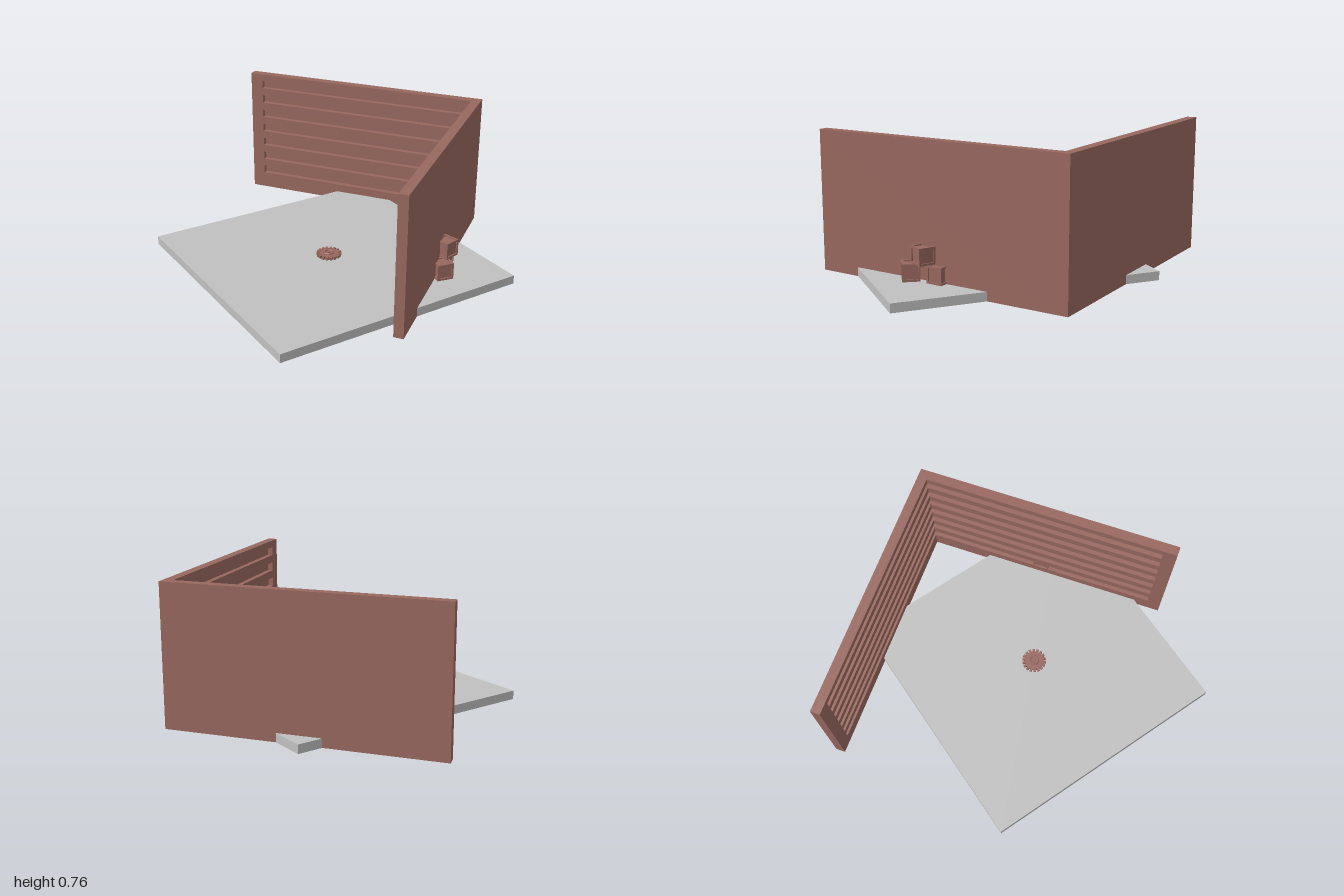
import * as THREE from 'three';

export function createModel() {
  const model = new THREE.Group();
  const clay = new THREE.MeshStandardMaterial({ name: 'clay brown', color: 0x98685f });
  const stone = new THREE.MeshStandardMaterial({ name: 'light grey', color: 0xc0c0c0 });

  function add(parent, name, geometry, material, x = 0, y = 0, z = 0) {
    const mesh = new THREE.Mesh(geometry, material);
    mesh.name = name;
    mesh.position.set(x, y, z);
    parent.add(mesh);
    return mesh;
  }

  // Floor slab, turned 18 degrees
  const floor = add(model, 'floorSlab', new THREE.BoxGeometry(1.43, 0.048, 1.43), stone, 0.1, 0.024, 0.06);
  floor.rotation.y = -0.314;

  // Corner wall: plan points are measured along the two wall directions from the outer corner
  const L = 1.468, T = 0.053, BACK = 0.023, POST = 0.075, H = 0.76;
  const plan = (a, b) => new THREE.Vector2(
    0.401 - 0.954 * a + 0.324 * b,
    0.963 - 0.302 * a - 0.946 * b);
  function planExtrude(points, height) {
    const shape = new THREE.Shape(points.map(([a, b]) => plan(a, b)));
    const geometry = new THREE.ExtrudeGeometry(shape, { depth: height, bevelEnabled: false });
    return geometry.rotateX(-Math.PI / 2);
  }
  const walls = new THREE.Group();
  walls.name = 'cornerWalls';
  model.add(walls);

  // Thin backing with a thick post at each free end
  add(walls, 'wallBacking', planExtrude([
    [0, 0], [L, 0], [L, T], [L - POST, T], [L - POST, BACK], [BACK, BACK],
    [BACK, L - POST], [T, L - POST], [T, L], [0, L],
  ], H), clay);

  // Horizontal slats leave seven recessed grooves between them
  const grooveStart = 0.096, pitch = 0.0957, groove = 0.049;
  for (let i = 0; i <= 7; i++) {
    const bottom = i === 0 ? 0 : grooveStart + (i - 1) * pitch + groove;
    const top = i === 7 ? H : grooveStart + i * pitch;
    add(walls, 'wallSlat', planExtrude([
      [BACK, BACK], [L - POST, BACK], [L - POST, T], [T, T], [T, L - POST], [BACK, L - POST],
    ], top - bottom), clay, 0, bottom, 0);
  }

  // Crates: recessed core with a beam along each of the twelve edges
  function crate(x, y, z, turn) {
    const S = 0.091, B = 0.011, o = (S - B) / 2;
    const group = new THREE.Group();
    group.name = 'crate';
    group.position.set(x, y + S / 2, z);
    group.rotation.y = turn;
    add(group, 'crateCore', new THREE.BoxGeometry(S - 0.014, S - 0.014, S - 0.014), clay);
    for (const p of [-o, o]) for (const q of [-o, o]) {
      add(group, 'crateUpright', new THREE.BoxGeometry(B, S, B), clay, p, 0, q);
      add(group, 'crateBeamX', new THREE.BoxGeometry(S - 2 * B, B, B), clay, 0, p, q);
      add(group, 'crateBeamZ', new THREE.BoxGeometry(B, B, S - 2 * B), clay, p, q, 0);
    }
    model.add(group);
  }
  crate(0.71, 0.048, -0.145, -0.53);
  crate(0.631, 0.048, -0.278, 0.31);
  crate(0.683, 0.141, -0.215, -0.11);

  // Toothed disc at the middle of the floor
  const wheel = new THREE.Group();
  wheel.name = 'toothedWheel';
  wheel.position.set(0.1, 0.048, 0.06);
  model.add(wheel);
  add(wheel, 'wheelDisc', new THREE.CylinderGeometry(0.054, 0.056, 0.018, 36), clay, 0, 0.009, 0);
  const teeth = 18;
  for (let i = 0; i < teeth; i++) {
    const a = (i / teeth) * Math.PI * 2;
    const tooth = add(wheel, 'wheelTooth', new THREE.BoxGeometry(0.02, 0.015, 0.013), clay,
      Math.cos(a) * 0.059, 0.0115, Math.sin(a) * 0.059);
    tooth.rotation.y = -a;
  }
  const ring = add(wheel, 'wheelRing', new THREE.TorusGeometry(0.024, 0.005, 8, 24), clay, 0, 0.019, 0);
  ring.rotation.x = Math.PI / 2;
  add(wheel, 'wheelHub', new THREE.CylinderGeometry(0.009, 0.009, 0.024, 12), clay, 0, 0.012, 0);

  return model;
}
